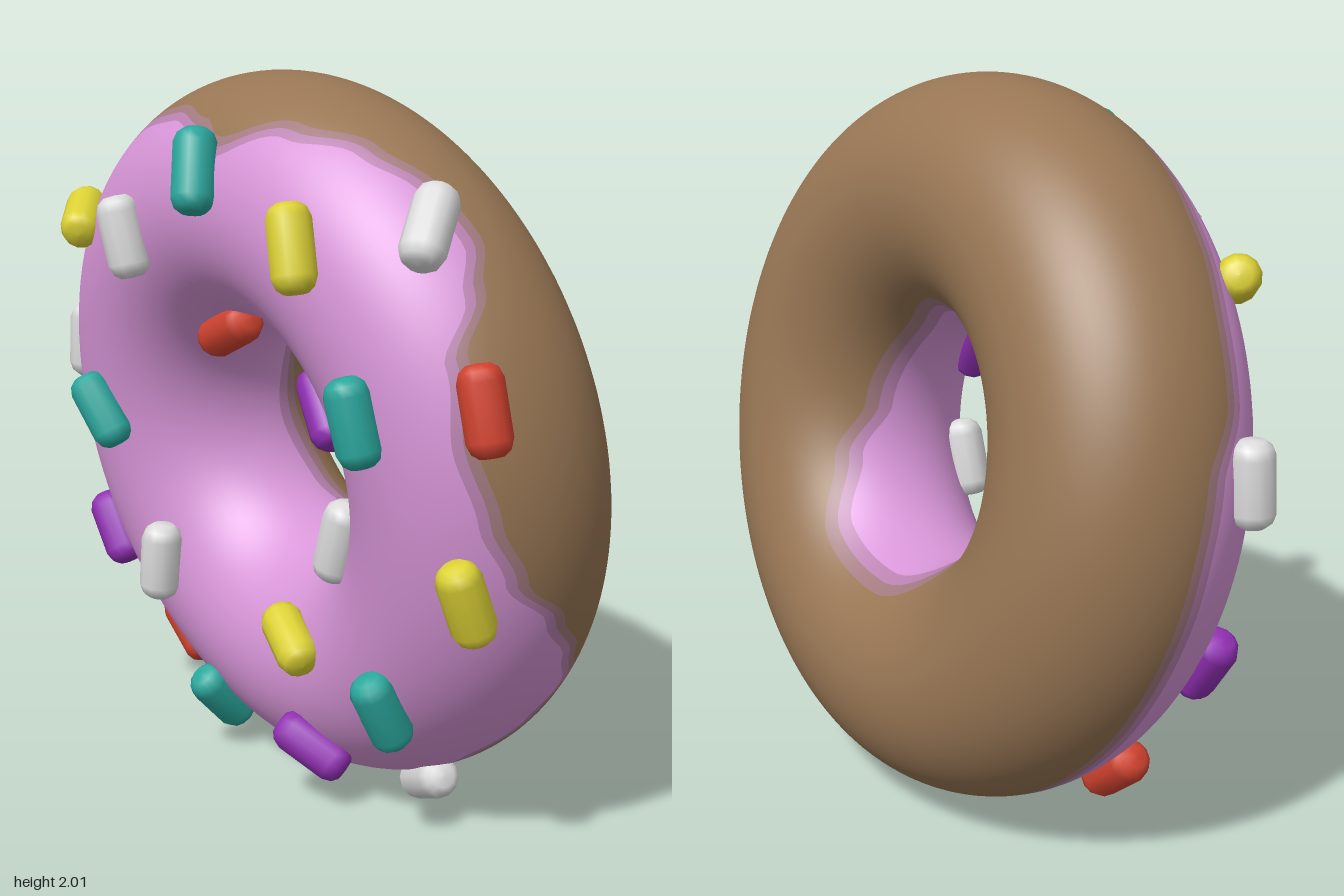
import * as THREE from 'three';

const R = 0.665, r = 0.335, TILT = 0.163, RAD = Math.PI / 180;

const mat = (name, color) => {
  const m = new THREE.MeshStandardMaterial({ color });
  m.name = name;
  return m;
};

// icing edge angle around the tube, as [ring angle, tube angle] in degrees
const OUTER = [[0, 50], [12, 45], [25, 53], [33, 72], [40, 83], [50, 80], [60, 70], [72, 55], [86, 33],
  [92, 41], [103, 51], [118, 57], [135, 62], [150, 66], [160, 66], [172, 78], [185, 80], [210, 82],
  [240, 84], [270, 84], [285, 82], [297, 78], [306, 76], [318, 92], [325, 104], [333, 95], [342, 80],
  [350, 60], [360, 50]];
const INNER = [[0, 100], [45, 95], [90, 108], [115, 102], [150, 112], [190, 104], [225, 108], [270, 126],
  [305, 128], [335, 115], [360, 100]];

function edge(keys, deg) {
  const k = Math.max(1, keys.findIndex(p => p[0] >= deg));
  const [a, b] = [keys[k - 1], keys[k]];
  return THREE.MathUtils.lerp(a[1], b[1], THREE.MathUtils.smoothstep(deg, a[0], b[0]));
}

// strip of the ring surface between two tube angles that vary along the ring
function band(from, to, steps) {
  const N = 240, pos = [], nor = [], idx = [];
  for (let i = 0; i <= N; i++) {
    const deg = i / N * 360, t = deg * RAD, a = from(deg), b = to(deg);
    for (let j = 0; j <= steps; j++) {
      const p = (a + (b - a) * j / steps) * RAD;
      const n = [Math.sin(p) * Math.cos(t), Math.sin(p) * Math.sin(t), Math.cos(p)];
      nor.push(...n);
      pos.push(R * Math.cos(t) + r * n[0], R * Math.sin(t) + r * n[1], r * n[2]);
      if (i < N && j < steps) {
        const q = i * (steps + 1) + j, s = q + steps + 1;
        idx.push(q, q + 1, s + 1, q, s + 1, s);
      }
    }
  }
  const g = new THREE.BufferGeometry();
  g.setAttribute('position', new THREE.Float32BufferAttribute(pos, 3));
  g.setAttribute('normal', new THREE.Float32BufferAttribute(nor, 3));
  g.setIndex(idx);
  return g;
}

export function createModel() {
  const model = new THREE.Group();
  model.name = 'donut';
  const ring = new THREE.Group();
  ring.name = 'ring';
  ring.position.set(0, 0.992, -0.05);
  ring.rotation.x = TILT;
  ring.updateMatrix();
  model.add(ring);

  const add = (name, geometry, material) => {
    const mesh = new THREE.Mesh(geometry, material);
    mesh.name = name;
    ring.add(mesh);
    return mesh;
  };

  // icing, two thin blended rims at its edges, and bare dough behind
  const out = w => d => edge(OUTER, d) + w;
  const inn = w => d => -edge(INNER, d) - w;
  const icing = mat('pink icing', 0xd896d8);
  const rimPink = mat('icing rim', 0xb982b0);
  const rimBrown = mat('dough rim', 0xa27a80);
  const dough = mat('brown dough', 0x987654);
  add('icing', band(inn(0), out(0), 40), icing);
  add('icingRimOuter', band(out(0), out(5), 2), rimPink);
  add('icingRimInner', band(inn(7), inn(0), 2), rimPink);
  add('doughRimOuter', band(out(5), out(10), 2), rimBrown);
  add('doughRimInner', band(inn(14), inn(7), 2), rimBrown);
  add('dough', band(out(10), d => 360 + inn(14)(d), 40), dough);

  // sprinkles: position and lengthwise direction, snapped onto the ring
  const rod = new THREE.LatheGeometry([[0, -0.115], [0.032, -0.112], [0.05, -0.098], [0.06, -0.072],
    [0.06, 0.072], [0.05, 0.098], [0.032, 0.112], [0, 0.115]].map(p => new THREE.Vector2(...p)), 12);
  const sprinkles = [
    [mat('teal', 0x2aa79d), [
      [0.05, 1.74, 0.38, 0.03, -0.1, 0], [0.66, 1.19, 0.36, 0.02, -0.1, 0],
      [-0.62, 0.97, 0.3, 0.05, -0.08, 0], [0.58, 0.37, 0.2, 0, -0.1, -0.06],
      [-0.29, 0.14, 0.1, 0.01, 0.1, 0.07]]],
    [mat('yellow', 0xdcd135), [
      [0.46, 1.6, 0.4, 0.03, -0.1, 0], [-0.66, 1.52, 0.28, 0.14, -0.06, 0.12],
      [0.92, 0.75, 0.2, 0, -0.1, -0.04], [0.17, 0.48, 0.25, 0.1, -0.05, 0]]],
    [mat('white', 0xdcdcdc), [
      [0.71, 1.65, 0.16, 0.09, -0.14, 0.13], [-0.31, 1.53, 0.4, 0.02, -0.1, 0],
      [-0.94, 1.1, 0.12, 0, -0.1, 0], [0.37, 0.78, 0.15, 0.02, 0.1, 0],
      [-0.42, 0.54, 0.26, 0.01, 0.1, 0], [0.4, 0.06, -0.12, 0.1, 0.04, 0.03]]],
    [mat('red', 0xd2432f), [
      [-0.18, 1.32, 0.14, 0.1, 0.05, 0], [0.93, 1.25, 0.16, 0.03, -0.1, 0],
      [-0.63, 0.24, -0.02, 0.1, -0.09, 0]]],
    [mat('purple', 0x9230b4), [
      [0.35, 1.16, 0.16, 0.09, -0.07, 0], [-0.78, 0.55, 0.15, 0.06, -0.09, 0],
      [0.2, 0.14, 0.14, 0.1, -0.07, -0.06]]],
  ];
  const toRing = ring.matrix.clone().invert();
  for (const [material, list] of sprinkles) {
    for (const [x, y, z, dx, dy, dz] of list) {
      const p = new THREE.Vector3(x, y, z).applyMatrix4(toRing);
      const core = new THREE.Vector3(p.x, p.y, 0).setLength(R);
      const n = p.sub(core).normalize();
      const dir = new THREE.Vector3(dx, dy, dz).transformDirection(toRing).projectOnPlane(n).normalize();
      const mesh = add(material.name + 'Sprinkle', rod, material);
      mesh.position.copy(core).addScaledVector(n, r + 0.025);
      mesh.quaternion.setFromUnitVectors(new THREE.Vector3(0, 1, 0), dir);
    }
  }
  return model;
}
